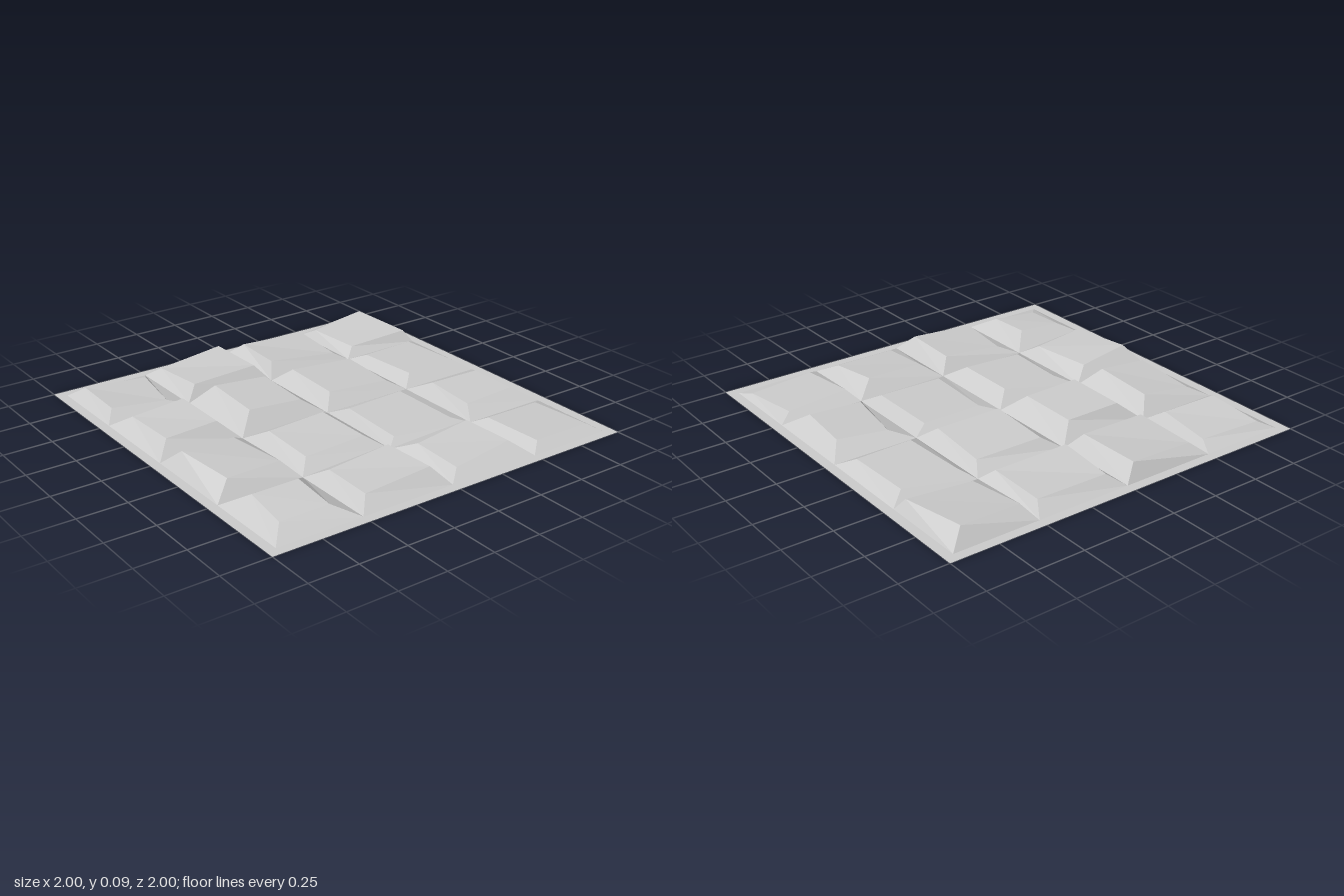
import * as THREE from 'three';

const material = new THREE.MeshStandardMaterial({ color: 0xcccccc, flatShading: true, side: THREE.DoubleSide });

// Grid lines that divide the panel into stones
const lines = [-0.95, -0.5, 0, 0.5, 0.95];

// Open stone: a cell outline rising to an uneven, tilted top.
// Corners run back left, back right, front right, front left, each [x, z, height].
function createStone(row, column, corners) {
  const [x0, x1, z0, z1] = [lines[column], lines[column + 1], lines[row], lines[row + 1]];
  const base = [[x0, z0], [x1, z0], [x1, z1], [x0, z1]].map(([x, z]) => new THREE.Vector3(x, 0, z));
  const top = corners.map(([x, z, h]) => new THREE.Vector3(x, h, z));
  const points = [];
  const quad = (a, b, c, d) => points.push(a, b, c, a, c, d);
  quad(top[0], top[3], top[2], top[1]);
  for (let i = 0; i < 4; i++) {
    const j = (i + 1) % 4;
    quad(base[i], top[i], top[j], base[j]);
  }
  const geometry = new THREE.BufferGeometry().setFromPoints(points);
  geometry.computeVertexNormals();
  const mesh = new THREE.Mesh(geometry, material);
  mesh.name = `stoneRow${row + 1}Column${column + 1}`;
  return mesh;
}

// Flat border around the stones
function createBorder() {
  const square = (s) => [[-s, -s], [s, -s], [s, s], [-s, s]].map(([x, y]) => new THREE.Vector2(x, y));
  const shape = new THREE.Shape(square(1));
  shape.holes.push(new THREE.Path(square(0.95)));
  const mesh = new THREE.Mesh(new THREE.ShapeGeometry(shape).rotateX(-Math.PI / 2), material);
  mesh.name = 'border';
  return mesh;
}

export function createModel() {
  const group = new THREE.Group();
  group.name = 'stonePanel';
  group.add(createBorder());
  const stone = (row, column, ...corners) => group.add(createStone(row, column, corners));

  // Back row
  stone(0, 0, [-0.87, -0.9, 0.04], [-0.545, -0.865, 0.03], [-0.6, -0.545, 0.03], [-0.89, -0.58, 0.05]);
  stone(0, 1, [-0.44, -0.88, 0.05], [-0.07, -0.905, 0.08], [-0.065, -0.565, 0.08], [-0.43, -0.555, 0.07]);
  stone(0, 2, [0.08, -0.89, 0.06], [0.45, -0.87, 0.05], [0.43, -0.54, 0.04], [0.055, -0.58, 0.07]);
  stone(0, 3, [0.535, -0.855, 0.05], [0.87, -0.89, 0.08], [0.915, -0.545, 0.06], [0.57, -0.56, 0.04]);

  // Second row
  stone(1, 0, [-0.855, -0.43, 0.05], [-0.58, -0.415, 0.08], [-0.595, -0.075, 0.09], [-0.865, -0.085, 0.07]);
  stone(1, 1, [-0.385, -0.43, 0.095], [-0.1, -0.41, 0.08], [-0.11, -0.075, 0.075], [-0.4, -0.09, 0.09]);
  stone(1, 2, [0.095, -0.44, 0.06], [0.445, -0.415, 0.045], [0.415, -0.06, 0.05], [0.075, -0.085, 0.065]);
  stone(1, 3, [0.56, -0.415, 0.04], [0.865, -0.43, 0.04], [0.88, -0.085, 0.045], [0.58, -0.075, 0.045]);

  // Third row
  stone(2, 0, [-0.89, 0.1, 0.085], [-0.595, 0.07, 0.06], [-0.555, 0.4, 0.06], [-0.855, 0.43, 0.075]);
  stone(2, 1, [-0.405, 0.085, 0.045], [-0.09, 0.085, 0.06], [-0.09, 0.41, 0.06], [-0.42, 0.41, 0.045]);
  stone(2, 2, [0.085, 0.065, 0.025], [0.415, 0.055, 0.03], [0.415, 0.445, 0.03], [0.065, 0.445, 0.025]);
  stone(2, 3, [0.605, 0.085, 0.04], [0.865, 0.12, 0.055], [0.845, 0.405, 0.065], [0.56, 0.405, 0.05]);

  // Front row
  stone(3, 0, [-0.835, 0.595, 0.06], [-0.6, 0.61, 0.07], [-0.61, 0.855, 0.055], [-0.855, 0.835, 0.04]);
  stone(3, 1, [-0.405, 0.57, 0.04], [-0.07, 0.57, 0.07], [-0.07, 0.87, 0.08], [-0.43, 0.87, 0.055]);
  stone(3, 2, [0.075, 0.61, 0.05], [0.4, 0.58, 0.07], [0.43, 0.84, 0.055], [0.08, 0.88, 0.035]);
  stone(3, 3, [0.54, 0.58, 0.045], [0.875, 0.56, 0.03], [0.915, 0.87, 0.02], [0.57, 0.89, 0.035]);
  return group;
}
